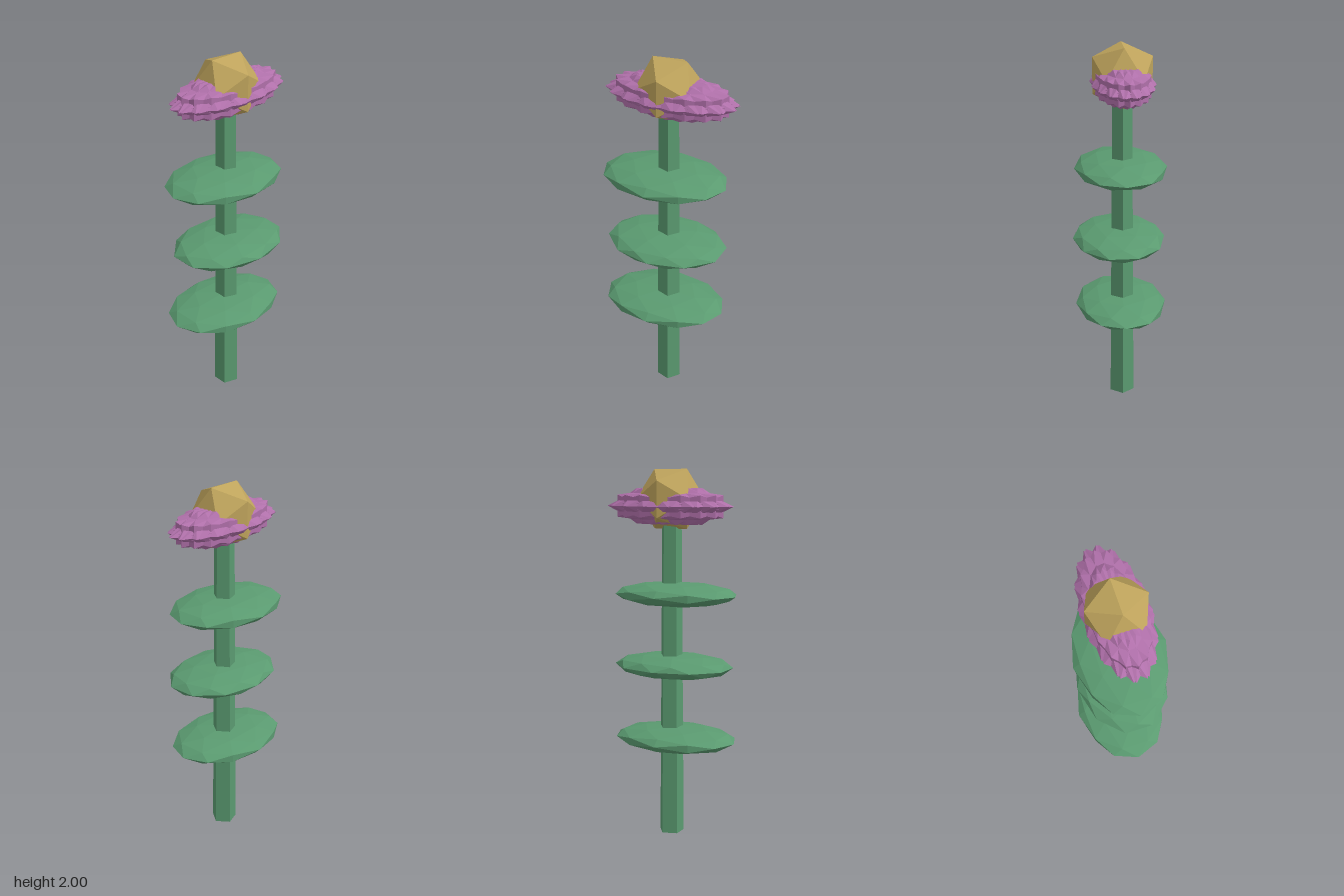
import * as THREE from 'three';

const material = (color) => new THREE.MeshStandardMaterial({ color, flatShading: true });

export function createModel() {
  const model = new THREE.Group();
  const green = material(0x5a9a70);
  const purple = material(0xb070aa);
  const gold = material(0xbfa45c);

  const add = (parent, name, geometry, mat, x = 0, y = 0, z = 0) => {
    const mesh = new THREE.Mesh(geometry, mat);
    mesh.name = name;
    mesh.position.set(x, y, z);
    parent.add(mesh);
    return mesh;
  };

  // Five-sided tapering stem with one edge towards +x
  const stem = new THREE.CylinderGeometry(0.055, 0.07, 1.8, 5).rotateY(Math.PI / 2);
  add(model, 'stem', stem, green, -0.003, 0.9, -0.007);

  // Flat faceted leaves, the middle one turned to a ten-sided outline
  const leaves = new THREE.Group();
  leaves.name = 'leaves';
  model.add(leaves);
  const tilt = Math.atan(2 / (1 + Math.sqrt(5)));
  [[-0.027, 0.54, -0.003], [-0.008, 0.94, 0.01], [-0.027, 1.335, -0.003]].forEach(([x, y, z], i) => {
    const leaf = new THREE.IcosahedronGeometry(1, 1);
    // Stand the middle leaf on a corner so its rim is a regular decagon
    if (i === 1) leaf.rotateZ(tilt);
    leaf.scale(i === 1 ? 0.34 : 0.352, 0.066, 0.252);
    add(leaves, 'leaf', leaf, green, x, y, z);
  });

  // Spiky blossom: overlapping turned solids, flattened into one oval
  const blossom = new THREE.Group();
  blossom.name = 'blossom';
  blossom.position.set(0.008, 1.805, -0.01);
  model.add(blossom);
  const petals = 8;
  for (let i = 0; i < petals; i++) {
    const petal = new THREE.IcosahedronGeometry(1, 0);
    petal.rotateY((i * Math.PI) / petals + 0.05).scale(0.37, 0.112, 0.172);
    add(blossom, 'petal', petal, purple);
  }

  // Golden centre
  add(model, 'flowerCentre', new THREE.IcosahedronGeometry(0.185, 0), gold, 0, 1.843, -0.01);

  return model;
}
